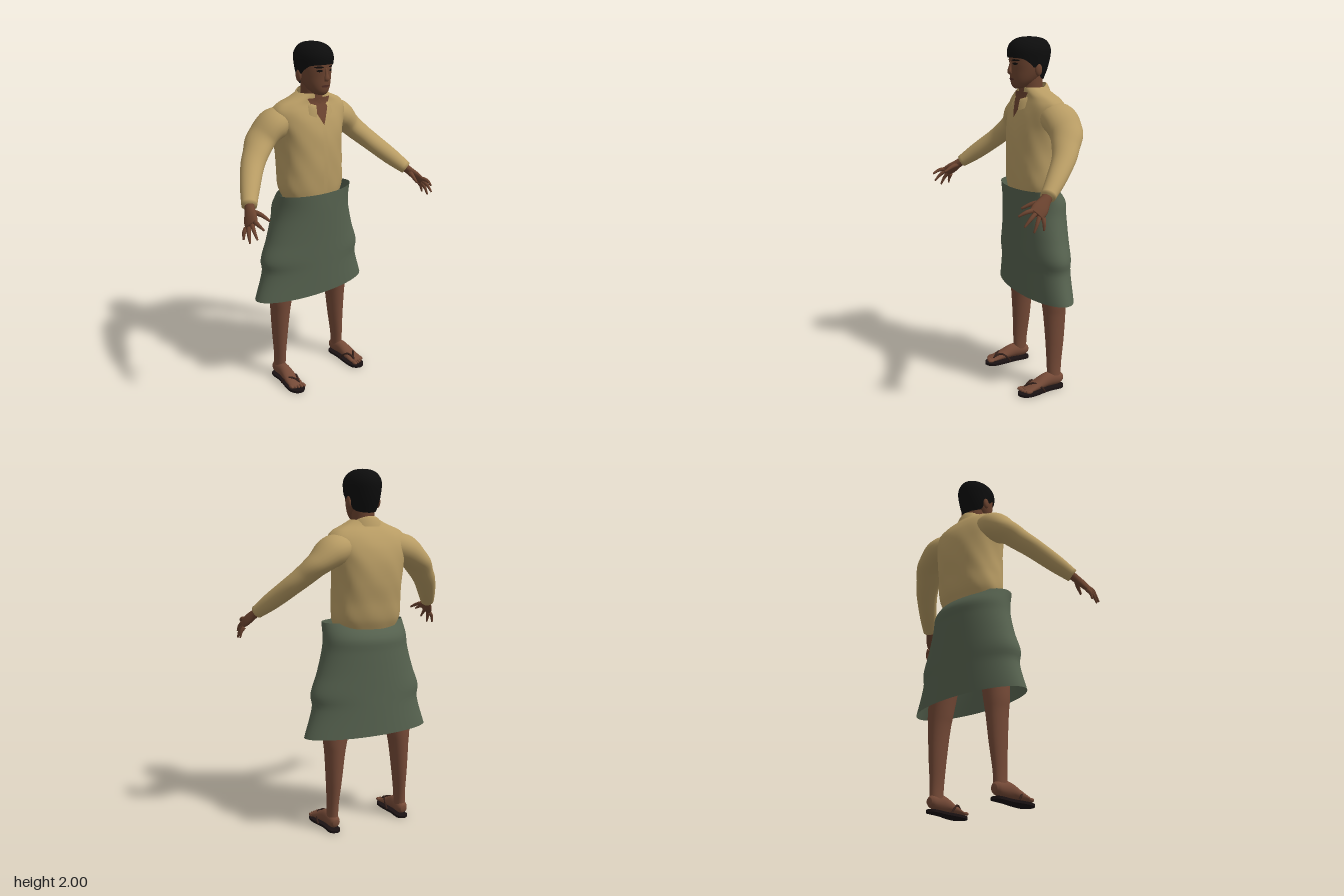
import * as THREE from 'three';

const mat = (name, color, side = THREE.FrontSide) => {
  const m = new THREE.MeshStandardMaterial({ color, side });
  m.name = name;
  return m;
};

// Smooth interpolation of a table whose first column is the key
function at(rows, k) {
  const n = rows.length;
  k = Math.min(Math.max(k, rows[0][0]), rows[n - 1][0]);
  let i = 0;
  while (i < n - 2 && k > rows[i + 1][0]) i++;
  const p = rows[i], q = rows[i + 1], h = q[0] - p[0], t = (k - p[0]) / h;
  const slope = (j, c) => {
    const a = rows[Math.max(j - 1, 0)], b = rows[Math.min(j + 1, n - 1)];
    return (b[c] - a[c]) / (b[0] - a[0]);
  };
  return p.slice(1).map((_, c0) => {
    const c = c0 + 1;
    return p[c] * (1 + 2 * t) * (1 - t) ** 2 + q[c] * t * t * (3 - 2 * t)
      + h * slope(i, c) * t * (1 - t) ** 2 + h * slope(i + 1, c) * t * t * (t - 1);
  });
}

// Surface from a grid of points fn(u, v); closed joins the u ends
function grid(nu, nv, fn, closed = false) {
  const pos = [], idx = [], w = closed ? nu : nu + 1;
  for (let i = 0; i <= nv; i++) for (let j = 0; j < w; j++) pos.push(...fn(j / nu, i / nv));
  for (let i = 0; i < nv; i++) for (let j = 0; j < nu; j++) {
    const a = i * w + j, b = i * w + (j + 1) % w;
    idx.push(a, b, a + w, b, b + w, a + w);
  }
  const g = new THREE.BufferGeometry();
  g.setAttribute('position', new THREE.Float32BufferAttribute(pos, 3));
  g.setIndex(idx);
  g.computeVertexNormals();
  return g;
}

const spow = (v, e) => Math.sign(v) * Math.abs(v) ** e;
// Upright shell; rows are [y, halfWidth, zFront, zBack]
function shell(rows, { lo = () => rows[0][0], exp = 2, nv = 32, ease = 1, fold = 0 } = {}) {
  const hi = rows[rows.length - 1][0];
  return grid(48, nv, (u, v) => {
    const t = u * Math.PI * 2, l = lo(t), y = l + (hi - l) * (1 - (1 - v) ** ease);
    const [w, f, b] = at(rows, y);
    const k = 1 + fold * Math.sin(t * 7 + y * 9) * Math.sin(y * 23 + t * 2);
    return [k * w * spow(Math.sin(t), 2 / exp), y, (f + b) / 2 + k * (f - b) / 2 * spow(Math.cos(t), 2 / exp)];
  }, true);
}

// Thin patch lying on the front of a shell
const decal = (rows, exp, off, fn, n = 8) => grid(n, n, (u, v) => {
  const [x, y] = fn(u * 2 - 1, v * 2 - 1), [w, f, b] = at(rows, y);
  return [x, y, (f + b) / 2 + (f - b) / 2 * (1 - Math.min(Math.abs(x / w), 1) ** exp) ** (1 / exp) + off];
});
const lens = (cx, cy, w, h) => (a, b) => [cx + a * w, cy + b * h * Math.sqrt(1 - a * a * 0.95)];

// Limb along points [x, y, z, sideRadius, otherRadius]; ref fixes the roll
function limb(pts, ref = [0, 1, 0], nu = 16, nv = 24) {
  const curve = new THREE.CatmullRomCurve3(pts.map(p => new THREE.Vector3(p[0], p[1], p[2])), false, 'catmullrom');
  const rad = new THREE.CatmullRomCurve3(pts.map(p => new THREE.Vector3(p[3], p[4], 0)), false, 'catmullrom');
  const R = new THREE.Vector3(...ref);
  return grid(nu, nv + 2, (u, v) => {
    const i = Math.round(v * (nv + 2)), t = Math.min(Math.max((i - 1) / nv, 0), 1);
    const end = i === 0 || i === nv + 2 ? 0 : 1, a = u * Math.PI * 2;
    const T = curve.getTangent(t), U = R.clone().cross(T).normalize(), V = T.clone().cross(U), r = rad.getPoint(t);
    return curve.getPoint(t).addScaledVector(U, end * r.x * Math.cos(a))
      .addScaledVector(V, end * r.y * Math.sin(a)).toArray();
  }, true);
}

const ball = (x, y, z, a, b, c) => new THREE.SphereGeometry(1, 16, 12).scale(a, b, c).translate(x, y, z);

function mirrored(geo) {
  const g = geo.index ? geo.toNonIndexed() : geo.clone();
  for (const key of ['position', 'normal']) {
    const a = g.attributes[key];
    for (let i = 0; i < a.count; i++) a.setX(i, -a.getX(i));
    for (let i = 0; i < a.count; i += 3) {
      const p = [a.getX(i), a.getY(i), a.getZ(i)];
      a.setXYZ(i, a.getX(i + 1), a.getY(i + 1), a.getZ(i + 1));
      a.setXYZ(i + 1, ...p);
    }
  }
  return g;
}

const TORSO = [[1.13, 0.17, 0.02, -0.22], [1.2, 0.195, 0.03, -0.25], [1.3, 0.195, 0.037, -0.268],
  [1.4, 0.195, 0.037, -0.283], [1.5, 0.205, 0.03, -0.283], [1.58, 0.225, 0.012, -0.265],
  [1.64, 0.23, -0.01, -0.235], [1.68, 0.19, -0.025, -0.205], [1.7, 0.14, -0.025, -0.185], [1.73, 0.08, -0.025, -0.17]];
const SKIRT = [[0.555, 0.38, 0.02, -0.26], [0.72, 0.328, 0.03, -0.262], [0.79, 0.335, 0.034, -0.262],
  [0.9, 0.295, 0.04, -0.263], [1.03, 0.258, 0.048, -0.263], [1.1, 0.25, 0.052, -0.26], [1.18, 0.245, 0.055, -0.2]];
const HEAD = [[1.722, 0.012, 0.01, -0.02], [1.728, 0.034, 0.02, -0.05], [1.745, 0.052, 0.03, -0.08],
  [1.775, 0.07, 0.034, -0.12], [1.82, 0.084, 0.036, -0.165], [1.87, 0.09, 0.039, -0.18],
  [1.92, 0.09, 0.036, -0.18], [1.96, 0.065, 0.01, -0.15], [1.98, 0.02, -0.04, -0.1]];
const NECK = [[1.54, 0.08, 0, -0.16], [1.66, 0.068, -0.015, -0.155], [1.72, 0.062, -0.02, -0.15], [1.8, 0.062, -0.01, -0.15]];
const HAIR = [[1.76, 0.07, 0.02, -0.15], [1.82, 0.09, 0.042, -0.175], [1.88, 0.098, 0.049, -0.192],
  [1.93, 0.099, 0.051, -0.197], [1.965, 0.083, 0.036, -0.183], [1.985, 0.06, 0.01, -0.16],
  [1.996, 0.033, -0.025, -0.12], [2, 0, -0.072, -0.072]];
const HAIRLINE = [[0, 1.89], [0.9, 1.883], [1.3, 1.855], [1.5, 1.835], [1.75, 1.84], [2, 1.785], [3.15, 1.765]];

export function createModel() {
  const model = new THREE.Group();
  const D = THREE.DoubleSide;
  const skin = mat('skin', 0x6b432f), legSkin = mat('leg skin', 0x754a37);
  const shirt = mat('shirt cloth', 0xb89c64, D), skirt = mat('skirt cloth', 0x56624f, D);
  const hair = mat('hair', 0x0d0d0d, D), sole = mat('sandal sole', 0x1a1213), strap = mat('sandal strap', 0x35211b);
  const dark = mat('eye', 0x140e0c), lip = mat('lips', 0x4f2c24);

  const add = (name, geo, m) => {
    const mesh = new THREE.Mesh(geo, m);
    mesh.name = name;
    model.add(mesh);
  };
  const pair = (name, geo, m) => {
    add('left ' + name, geo, m);
    add('right ' + name, mirrored(geo), m);
  };

  // Clothes
  add('shirt body', shell(TORSO, { exp: 2.3, nv: 48, fold: 0.012 }), shirt);
  add('skirt', shell(SKIRT), skirt);
  add('open neckline', decal(TORSO, 2.3, 0.006, (a, b) => {
    const v = (b + 1) / 2;
    return [a * 0.075 * v, 1.56 + 0.145 * v];
  }, 14), skin);
  add('front placket', decal(TORSO, 2.3, 0.005, (a, b) => [a * 0.014, 1.37 + b * 0.19], 16), shirt);

  // Turned-down collar, open at the front
  add('collar', grid(40, 6, (u, v) => {
    const t = 0.42 + u * (Math.PI * 2 - 0.84), f = (1 + Math.cos(t)) / 2;
    const top = 1.75 - 0.085 * f, low = 1.695 - 0.095 * f ** 1.5, r = Math.sin(v * Math.PI / 2);
    const k = 1 - v;
    return [(0.078 + 0.03 * k) * Math.sin(t), low + (top - low) * r,
      -0.085 + (0.086 + 0.027 * k) * Math.cos(t)];
  }), shirt);

  // Head and face
  add('neck', shell(NECK), skin);
  add('head', shell(HEAD, { nv: 40 }), skin);
  add('hair', shell(HAIR, { lo: t => at(HAIRLINE, Math.min(t, Math.PI * 2 - t))[0], ease: 2, nv: 28 }), hair);
  add('nose', limb([[0, 1.868, 0.034, 0.007, 0.008], [0, 1.84, 0.042, 0.009, 0.008],
    [0, 1.815, 0.046, 0.015, 0.011], [0, 1.803, 0.04, 0.012, 0.008]], [0, 0, 1]), skin);
  add('mouth', decal(HEAD, 2, 0.004, lens(0, 1.774, 0.026, 0.007)), lip);
  pair('ear', ball(0.09, 1.825, -0.085, 0.012, 0.033, 0.021), skin);
  pair('eye', decal(HEAD, 2, 0.003, lens(0.037, 1.857, 0.015, 0.006)), dark);
  pair('eyebrow', decal(HEAD, 2, 0.004, lens(0.039, 1.876, 0.022, 0.005)), dark);

  // Sleeves
  pair('sleeve', limb([[0.13, 1.585, -0.135, 0.09, 0.075], [0.22, 1.565, -0.145, 0.105, 0.085],
    [0.3, 1.505, -0.14, 0.092, 0.066], [0.36, 1.445, -0.105, 0.075, 0.058], [0.42, 1.385, -0.058, 0.064, 0.053],
    [0.495, 1.302, 0.03, 0.052, 0.048], [0.553, 1.236, 0.107, 0.04, 0.036]], [0, 1, 0], 24, 40), shirt);

  // Hands
  const roll = [0.83, 0.55, 0];
  pair('palm', limb([[0.54, 1.25, 0.09, 0.026, 0.024], [0.562, 1.222, 0.125, 0.031, 0.022],
    [0.585, 1.19, 0.165, 0.043, 0.019], [0.6, 1.168, 0.196, 0.039, 0.014]], roll), skin);
  const tips = [[0.585, 1.165, 0.285], [0.612, 1.115, 0.265], [0.627, 1.085, 0.22], [0.632, 1.09, 0.168]];
  tips.forEach(([x, y, z], i) => {
    const k = i / 3, a = [0.589 + 0.021 * k, 1.188 - 0.04 * k, 0.212 - 0.052 * k];
    const mid = [(a[0] + x) / 2 + 0.005, (a[1] + y) / 2 + 0.006, (a[2] + z) / 2];
    pair('finger ' + (i + 1), limb([[...a, 0.012, 0.012], [...mid, 0.01, 0.01], [x, y, z, 0.005, 0.005]], roll, 8, 8), skin);
  });
  pair('thumb', limb([[0.562, 1.215, 0.13, 0.016, 0.016], [0.535, 1.208, 0.18, 0.012, 0.012],
    [0.517, 1.185, 0.235, 0.006, 0.006]], roll, 8, 10), skin);

  // Legs and feet
  pair('leg', limb([[0.13, 1.1, -0.11, 0.09, 0.09], [0.17, 0.8, -0.12, 0.085, 0.085], [0.2, 0.555, -0.132, 0.07, 0.073],
    [0.207, 0.45, -0.135, 0.056, 0.066], [0.213, 0.3, -0.135, 0.043, 0.056], [0.219, 0.15, -0.13, 0.031, 0.045],
    [0.222, 0.05, -0.13, 0.031, 0.042]], [0, 0, 1], 24, 40), legSkin);
  pair('foot', limb([[0.222, 0.055, -0.182, 0.018, 0.02], [0.222, 0.058, -0.155, 0.033, 0.037],
    [0.225, 0.063, -0.085, 0.035, 0.042], [0.229, 0.047, -0.015, 0.041, 0.028],
    [0.232, 0.033, 0.045, 0.043, 0.015], [0.232, 0.029, 0.07, 0.038, 0.01]], [0, 1, 0], 20), legSkin);
  for (let i = 0; i < 5; i++) {
    const r = i ? 0.0085 : 0.012;
    pair('toe ' + (i + 1), ball(0.2 + i * 0.0175, 0.03, 0.078 - i * i * 0.0016, r, 0.01, 0.02), legSkin);
  }

  // Sandals
  const outline = new THREE.Shape(new THREE.SplineCurve([[0.222, 0.19], [0.255, 0.165], [0.257, 0.08], [0.278, -0.03],
    [0.265, -0.085], [0.225, -0.104], [0.187, -0.075], [0.182, -0.01], [0.19, 0.08], [0.19, 0.165], [0.222, 0.19]]
    .map(p => new THREE.Vector2(...p))).getPoints(50));
  pair('sandal sole', new THREE.ExtrudeGeometry(outline, { depth: 0.014, bevelEnabled: false }).rotateX(-Math.PI / 2), sole);
  for (const x of [0.187, 0.27]) {
    const path = new THREE.CatmullRomCurve3([[0.212, 0.012, 0.065], [0.214, 0.046, 0.05],
      [(x + 0.215) / 2, 0.064, 0.012], [x, 0.035, -0.03], [x, 0.012, -0.045]].map(p => new THREE.Vector3(...p)));
    pair('sandal strap', new THREE.TubeGeometry(path, 20, 0.006, 8), strap);
  }
  return model;
}
